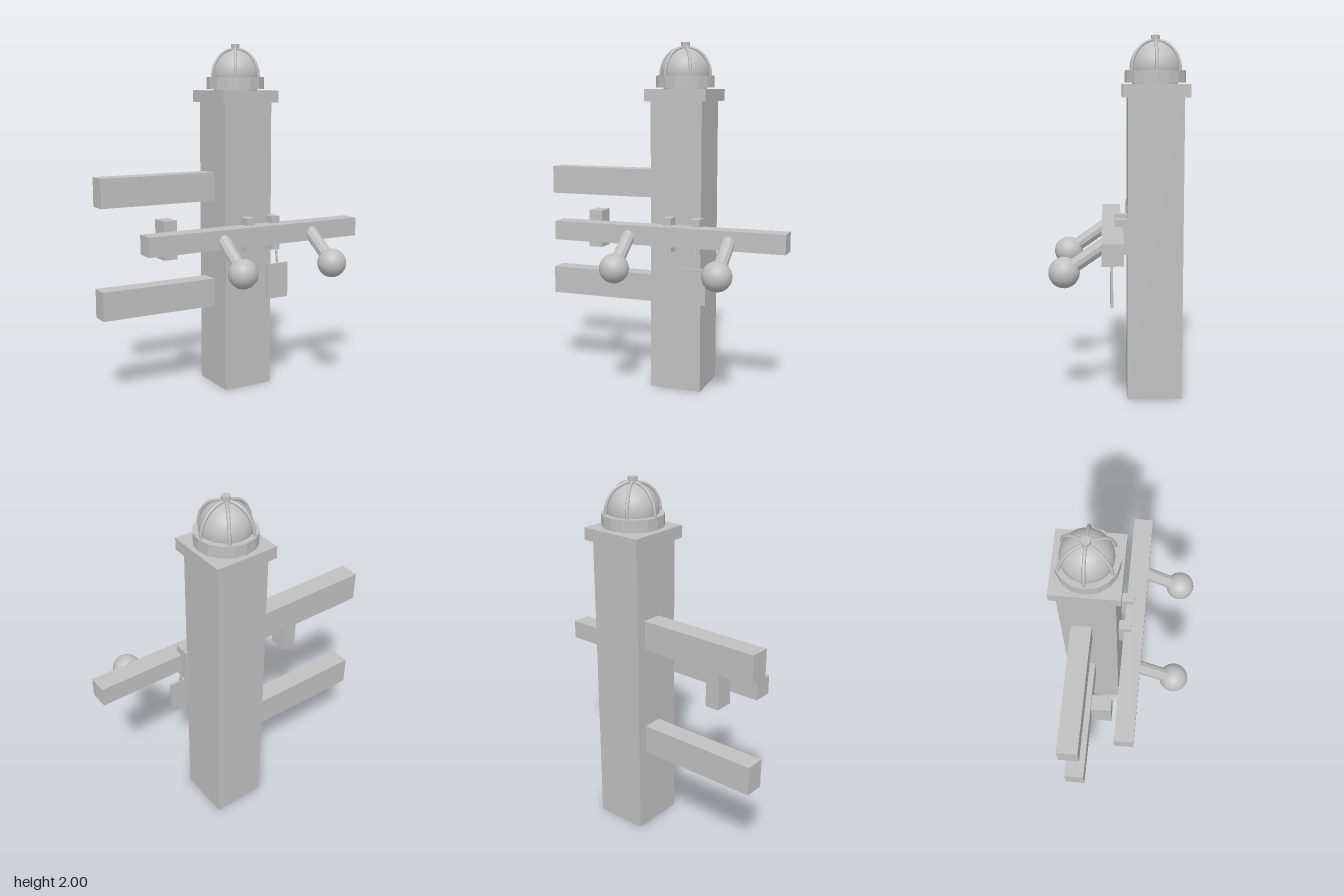
import * as THREE from 'three';

export function createModel() {
  const model = new THREE.Group();
  const grey = new THREE.MeshStandardMaterial({ color: 0xc0c0c0 });
  grey.name = 'plain grey';
  // same grey, faceted for the few-sided round parts
  const facet = grey.clone();
  facet.flatShading = true;

  const add = (name, geometry, material = grey, parent = model) => {
    const mesh = new THREE.Mesh(geometry, material);
    mesh.name = name;
    parent.add(mesh);
    return mesh;
  };
  // box given by its limits on each axis
  const box = (name, x0, x1, y0, y1, z0, z1) =>
    add(name, new THREE.BoxGeometry(x1 - x0, y1 - y0, z1 - z0))
      .position.set((x0 + x1) / 2, (y0 + y1) / 2, (z0 + z1) / 2);
  // straight round bar between two points
  const bar = (name, a, b, radius, sides) => {
    const dir = b.clone().sub(a);
    const mesh = add(name, new THREE.CylinderGeometry(radius, radius, dir.length(), sides), facet);
    mesh.position.copy(a).add(b).multiplyScalar(0.5);
    mesh.quaternion.setFromUnitVectors(new THREE.Vector3(0, 1, 0), dir.normalize());
  };
  const v = (x, y, z) => new THREE.Vector3(x, y, z);

  // post and cap
  box('post', -0.065, 0.238, 0, 1.67, -0.345, -0.042);
  box('postCap', -0.093, 0.269, 1.67, 1.738, -0.375, -0.013);

  // side rails, crossbar and its fittings
  box('upperRail', -0.762, -0.065, 1.106, 1.27, -0.289, -0.178);
  box('lowerRail', -0.762, -0.065, 0.479, 0.643, -0.289, -0.178);
  box('crossbar', -0.608, 0.756, 0.87, 0.979, -0.012, 0.098);
  box('looseBlock', -0.455, -0.373, 0.815, 1.032, -0.15, -0.041);
  for (const x of [0.032, 0.201]) box('bracket', x, x + 0.053, 0.825, 1.02, -0.055, 0.03);

  // slanted handles with ball ends
  for (const x of [-0.15, 0.436]) {
    bar('handle', v(x, 0.94, 0.051), v(x, 0.77, 0.294), 0.038, 10);
    add('handleBall', new THREE.SphereGeometry(0.082, 28, 18)).position.set(x, 0.77, 0.294);
  }

  // hanging tag
  bar('tagWire', v(0.229, 0.88, 0.024), v(0.229, 0.742, 0.045), 0.007, 8);
  box('tag', 0.159, 0.296, 0.542, 0.746, 0.037, 0.053);

  // lamp on top of the post
  const lamp = new THREE.Group();
  lamp.name = 'lamp';
  lamp.position.set(0.088, 0, -0.194);
  model.add(lamp);
  add('lampFoot', new THREE.CylinderGeometry(0.125, 0.125, 0.02, 24), grey, lamp).position.y = 1.742;
  add('lampCollar', new THREE.CylinderGeometry(0.167, 0.167, 0.066, 16), facet, lamp).position.y = 1.779;
  add('lampDome', new THREE.SphereGeometry(0.137, 32, 16, 0, Math.PI * 2, 0, Math.PI * 0.55), grey, lamp)
    .position.y = 1.83;
  add('finial', new THREE.CylinderGeometry(0.025, 0.025, 0.04, 10), facet, lamp).position.y = 1.98;

  // guard ribs around the dome
  const ribCurve = new THREE.CatmullRomCurve3([
    v(0.152, 1.805, 0), v(0.143, 1.865, 0), v(0.112, 1.922, 0), v(0.07, 1.956, 0), v(0.018, 1.972, 0),
  ]);
  const ribGeometry = new THREE.TubeGeometry(ribCurve, 14, 0.009, 8);
  for (let i = 0; i < 6; i++) add('guardRib', ribGeometry, grey, lamp).rotation.y = (i * Math.PI) / 3;

  return model;
}
